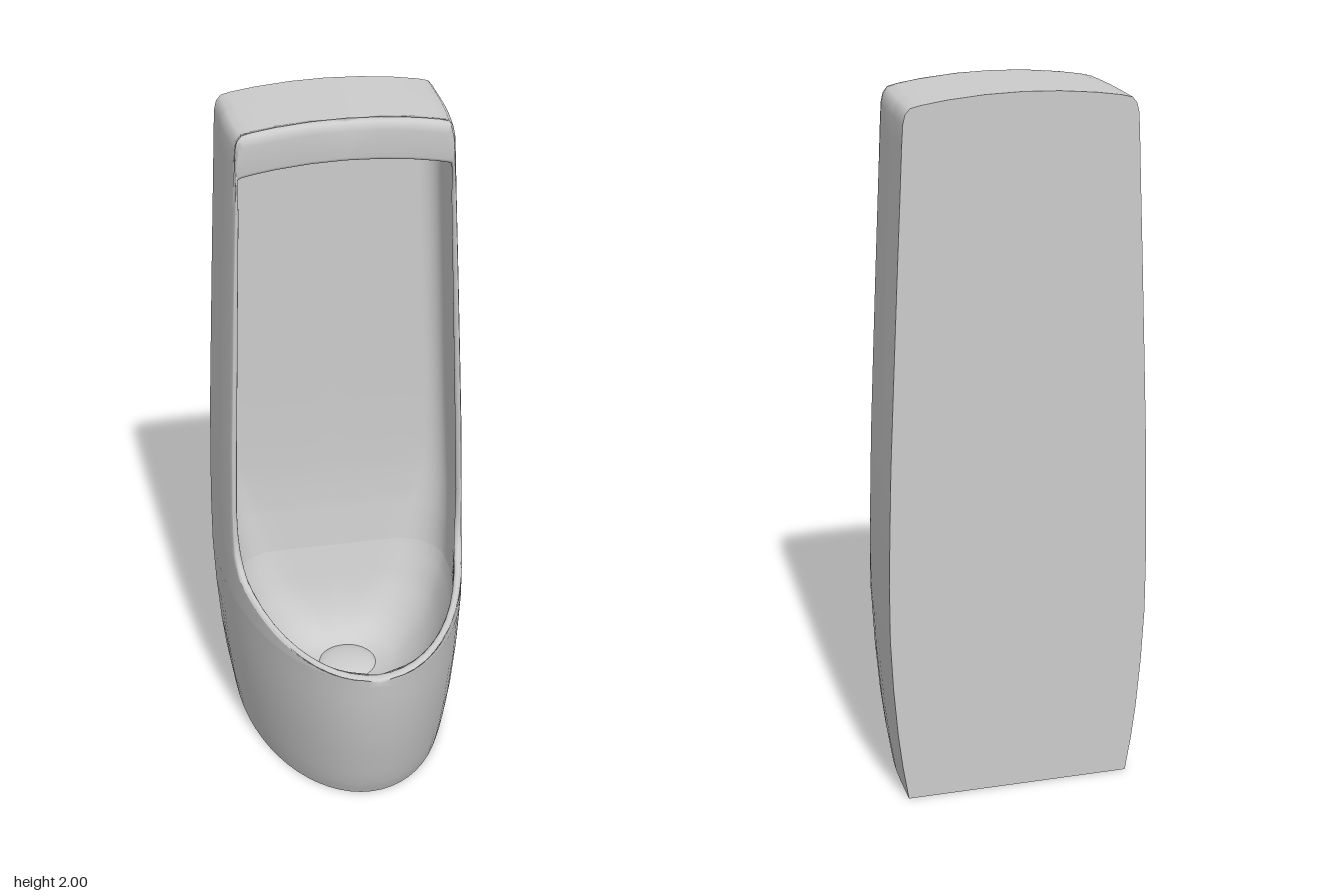
import * as THREE from 'three';
import { mergeVertices } from 'three/addons/utils/BufferGeometryUtils.js';

const BACK = -0.41, BELLY = -0.3;

// Piecewise linear lookup in [key, value] pairs
function table(pairs) {
  return (k) => {
    let i = 1;
    while (i < pairs.length - 1 && k > pairs[i][0]) i++;
    const [a, b] = [pairs[i - 1], pairs[i]];
    return a[1] + (b[1] - a[1]) * THREE.MathUtils.clamp((k - a[0]) / (b[0] - a[0]), 0, 1);
  };
}

// Outer half width and front reach by height
const outerW = table([[0, 0.322], [0.1, 0.338], [0.2, 0.35], [0.35, 0.362], [0.5, 0.369], [0.65, 0.369], [0.8, 0.366], [1, 0.36], [1.4, 0.342], [1.75, 0.325]]);
const outerF = table([[0, 0.295], [0.05, 0.317], [0.2, 0.36], [0.35, 0.391], [0.5, 0.41]]);
// Inner hollow: half width, front reach, back wall and corner radius by height
const innerW = table([[0.2, 0], [0.205, 0.08], [0.22, 0.14], [0.27, 0.21], [0.35, 0.27], [0.45, 0.312], [0.5, 0.325], [0.6, 0.332], [0.7, 0.342], [0.8, 0.346], [1, 0.341], [1.4, 0.325], [1.75, 0.311]]);
const innerF = table([[0.2, -0.09], [0.205, 0], [0.22, 0.08], [0.27, 0.18], [0.35, 0.27], [0.45, 0.345], [0.5, 0.375]]);
const innerB = table([[0.2, -0.09], [0.205, -0.15], [0.22, -0.19], [0.27, -0.235], [0.35, -0.27], [0.5, -0.308], [0.65, -0.328], [0.8, -0.338], [1, -0.34]]);
const innerR = table([[0.2, 0], [0.205, 0.06], [0.22, 0.1], [0.3, 0.15], [0.5, 0.14], [0.8, 0.07], [1, 0.055]]);
// Rim height by depth, and tilt of the rim from facing up to facing forward
const rimY = table([[0, 0.6], [0.1, 0.572], [0.2, 0.547], [0.3, 0.525], [0.41, 0.5]]);
const rimTilt = table([[0.5, 0.2], [0.59, 0.3], [0.625, 0.75], [0.66, 1.2], [0.72, 1.5], [0.8, 1.57]]);

const V = (x, y, z) => new THREE.Vector3(x, y, z);
const endAngle = (z, c, f) => Math.asin(THREE.MathUtils.clamp((z - c) / Math.max(f - c, 1e-6), -1, 1));

// Outer half section: straight from the back, then along an ellipse to depth zEnd
function outerSection(w, y, front, zEnd) {
  const pts = [V(w, y, BACK)], end = endAngle(zEnd, BELLY, front), n = 16;
  for (let i = 0; i <= n; i++) {
    const a = (end * i) / n;
    pts.push(V(w * Math.cos(a), y, BELLY + (front - BELLY) * Math.sin(a)));
  }
  return pts;
}

// Inner half section: from the opening back along the wall, round a corner, to the middle of the back
function innerSection(w, y, front, zEnd, zb, r, targetY) {
  const pts = [], c = zb + r, end = endAngle(zEnd, c, front), n = 14;
  for (let i = n; i >= 0; i--) {
    const a = (end * i) / n;
    pts.push(V(w * Math.cos(a), y, c + (front - c) * Math.sin(a)));
  }
  const inward = V(-w, targetY - y, 0), reach = inward.length();
  inward.normalize();
  const rr = Math.min(r, reach);
  for (let i = 1; i <= 6; i++) {
    const a = (i / 6) * Math.PI / 2;
    pts.push(V(w, y, c - r * Math.sin(a)).addScaledVector(inward, rr * (1 - Math.cos(a))));
  }
  const corner = pts[pts.length - 1], middle = V(0, targetY, zb);
  for (let i = 1; i <= 4; i++) pts.push(corner.clone().lerp(middle, i / 4));
  return pts;
}

// Rounded rim joining the ends of the outer and inner sections, which it trims
function rimSection(outer, inner, tilt) {
  const p = outer[outer.length - 1].clone(), q = inner[0].clone();
  const n = V(0, Math.cos(tilt), Math.sin(tilt)), d = p.distanceTo(q);
  const r = Math.min(0.035, 0.4 * d), r2 = Math.min(0.012, 0.3 * d);
  const at = (f, drop) => p.clone().lerp(q, f).addScaledVector(n, -drop);
  outer[outer.length - 1] = at(0, r);
  inner[0] = at(1, r2);
  return [outer[outer.length - 1], at(0.3 * r / d, 0.3 * r), at(r / d, 0), at(1 - r2 / d, 0), at(1 - 0.3 * r2 / d, 0.3 * r2), inner[0]];
}

// Skin neighbouring sections with quads and mirror them across x = 0
function loft(out, rows) {
  const tri = (a, b, c) => {
    if (b.clone().sub(a).cross(c.clone().sub(a)).length() < 1e-9) return;
    for (const v of [a, b, c]) out.push(v.x, v.y, v.z);
    for (const v of [a, c, b]) out.push(-v.x, v.y, v.z);
  };
  for (let k = 0; k < rows.length - 1; k++) {
    for (let j = 0; j < rows[k].length - 1; j++) {
      const a = rows[k][j], b = rows[k][j + 1], c = rows[k + 1][j + 1], d = rows[k + 1][j];
      tri(a, d, c);
      tri(a, c, b);
    }
  }
}

function toMesh(name, positions, material) {
  let g = new THREE.BufferGeometry();
  g.setAttribute('position', new THREE.Float32BufferAttribute(positions, 3));
  g = mergeVertices(g, 1e-4);
  g.computeVertexNormals();
  const mesh = new THREE.Mesh(g, material);
  mesh.name = name;
  return mesh;
}

export function createModel() {
  const group = new THREE.Group();
  group.name = 'urinal';
  const ceramic = new THREE.MeshStandardMaterial({ color: 0xcccccc });
  ceramic.name = 'ceramic grey';

  const outer = [], inner = [], rim = [];

  // Closed sections below the rim
  for (const y of [0, 0.02, 0.05, 0.1, 0.2, 0.28, 0.35, 0.42, 0.47]) outer.push(outerSection(outerW(y), y, outerF(y), 1));
  for (const y of [0.2, 0.205, 0.22, 0.245, 0.27, 0.31, 0.35, 0.4, 0.45, 0.48])
    inner.push(innerSection(innerW(y), y, innerF(y), 1, innerB(y), innerR(y), y));

  const addStation = (o, i, tilt) => {
    rim.push(rimSection(o, i, tilt));
    outer.push(o);
    inner.push(i);
  };

  // Sections open at the front: round the bowl, then up the sides
  const stations = [];
  for (let deg = 90; deg >= 30; deg -= 6) {
    const z = BELLY + 0.71 * Math.sin(THREE.MathUtils.degToRad(deg));
    stations.push([z, rimY(z)]);
  }
  stations.push([0, 0.6], [-0.03, 0.625], [-0.055, 0.66], [-0.066, 0.72], [-0.072, 0.8], [-0.075, 1],
    [-0.078, 1.25], [-0.082, 1.5], [-0.085, 1.75]);
  for (const [z, y] of stations) {
    const zIn = z - 0.035 * (z - BELLY) / 0.71;
    addStation(outerSection(outerW(y), y, 0.41, z),
      innerSection(innerW(y), y, innerF(y), zIn, innerB(y), innerR(y), y), rimTilt(y));
  }

  // Arched hood: outer x, y and inner x, y from the shoulder to the middle
  const hood = [[0.319, 1.88, 0.299, 1.815], [0.316, 1.93, 0.297, 1.842], [0.31, 1.955, 0.288, 1.846],
    [0.297, 1.971, 0.275, 1.849], [0.268, 1.978, 0.25, 1.854], [0.2, 1.988, 0.19, 1.863],
    [0.1, 1.997, 0.095, 1.872], [0, 2, 0, 1.875]];
  for (const [px, py, qx, qy] of hood) {
    addStation(outerSection(px, py, 0.41, -0.085),
      innerSection(qx / 0.957, qy, 0.375, -0.095, -0.34, 0.055, 1.75), Math.PI / 2);
  }

  const shell = [];
  loft(shell, outer);
  loft(shell, rim);
  loft(shell, inner);
  group.add(toMesh('bowlAndHood', shell, ceramic));

  // Flat back and base
  const back = [], base = [];
  loft(back, outer.map((row) => [V(0, row[0].y, BACK), row[0]]));
  loft(base, [outer[0].map((p) => V(0, 0, p.z)), outer[0]]);
  group.add(toMesh('backPanel', back, ceramic), toMesh('base', base, ceramic));

  // Low domed drain cover on the bowl floor
  const drain = new THREE.Mesh(new THREE.SphereGeometry(0.09, 32, 8, 0, Math.PI * 2, 0, Math.PI / 2), ceramic);
  drain.name = 'drainCover';
  drain.scale.y = 0.25;
  drain.position.set(0, 0.202, -0.09);
  group.add(drain);
  return group;
}
